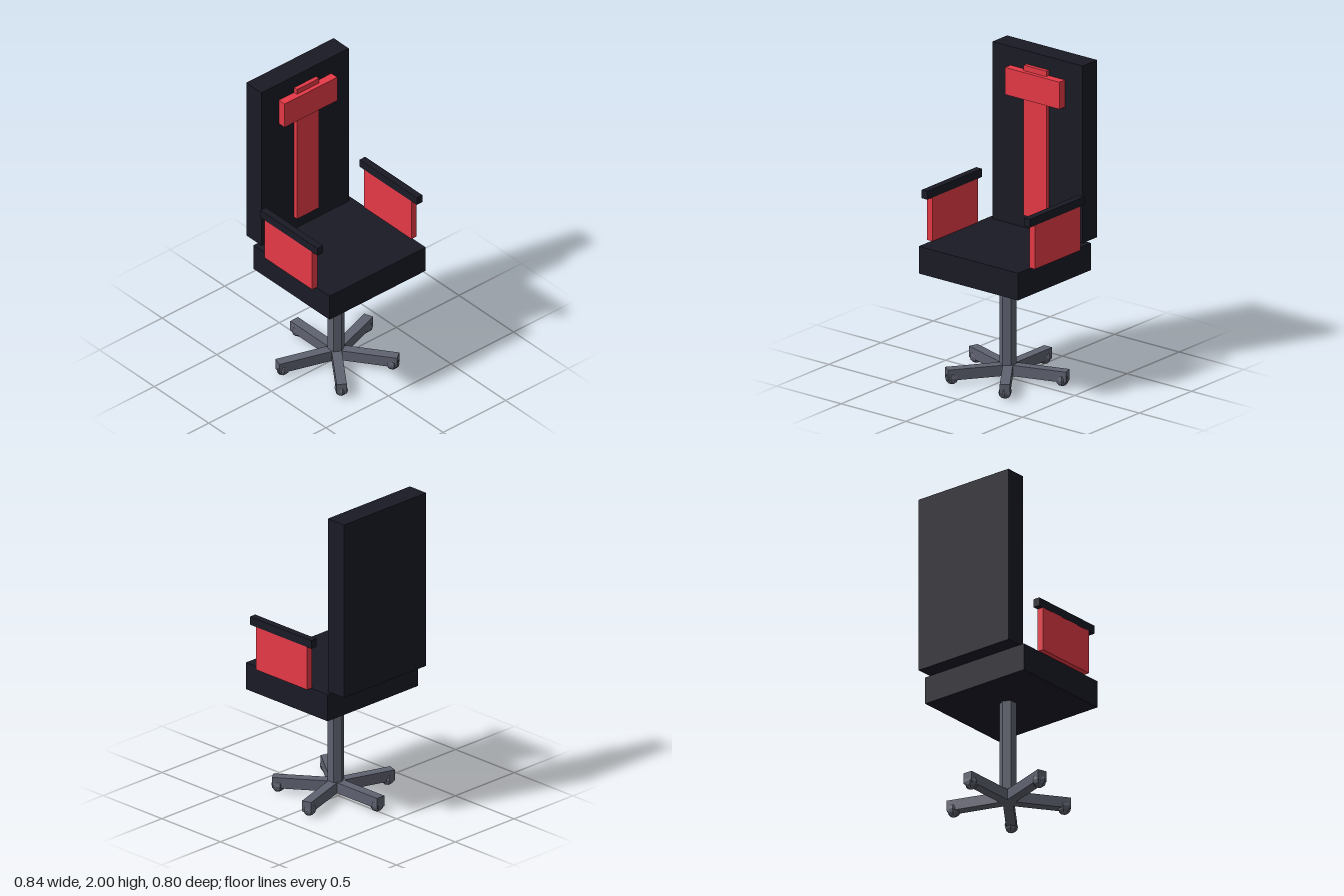
import * as THREE from 'three';

export function createModel() {
  const group = new THREE.Group();
  const material = (name, color) => {
    const m = new THREE.MeshStandardMaterial({ color });
    m.name = name;
    return m;
  };
  const dark = material('dark upholstery', 0x1a1a26);
  const red = material('red trim', 0xe63946);
  const metal = material('grey metal', 0x5f6270);
  metal.flatShading = true;

  const add = (name, geometry, mat, parent = group) => {
    const mesh = new THREE.Mesh(geometry, mat);
    mesh.name = name;
    parent.add(mesh);
    return mesh;
  };
  // Box given by its extents on each axis
  const box = (name, mat, [x0, x1], [y0, y1], [z0, z1], parent) => {
    const geometry = new THREE.BoxGeometry(x1 - x0, y1 - y0, z1 - z0);
    geometry.translate((x0 + x1) / 2, (y0 + y1) / 2, (z0 + z1) / 2);
    return add(name, geometry, mat, parent);
  };

  // Seat and backrest
  box('seat', dark, [-0.384, 0.384], [0.693, 0.867], [-0.297, 0.401]);
  box('backrest', dark, [-0.349, 0.349], [0.867, 2], [-0.402, -0.263]);

  // Red padding on the backrest
  box('backStripe', red, [-0.088, 0.088], [0.954, 1.915], [-0.263, -0.237]);
  box('headrest', red, [-0.211, 0.211], [1.707, 1.88], [-0.263, -0.21]);

  // Armrests
  for (const [side, s] of [['left', 1], ['right', -1]]) {
    const x = [s * 0.397 - 0.021, s * 0.397 + 0.021];
    box(side + 'ArmPanel', red, x, [0.867, 1.147], [-0.156, 0.28]);
    box(side + 'ArmPad', dark, [x[0] - 0.001, x[1] + 0.001], [1.147, 1.2], [-0.193, 0.33]);
  }

  // Hexagonal column
  const base = new THREE.Group();
  base.name = 'base';
  base.position.z = 0.02;
  group.add(base);
  add('column', new THREE.CylinderGeometry(0.052, 0.052, 0.63, 6), metal, base).position.y = 0.378;

  // Five-legged foot with faceted casters, one leg pointing straight back
  for (let i = 0; i < 5; i++) {
    const a = Math.PI + (i * 2 * Math.PI) / 5;
    box('leg', metal, [-0.031, 0.031], [0.032, 0.101], [0, 0.384], base).rotation.y = a;
    add('caster', new THREE.SphereGeometry(0.043, 6, 6), metal, base)
      .position.set(Math.sin(a) * 0.35, 0.043, Math.cos(a) * 0.35);
  }
  return group;
}
